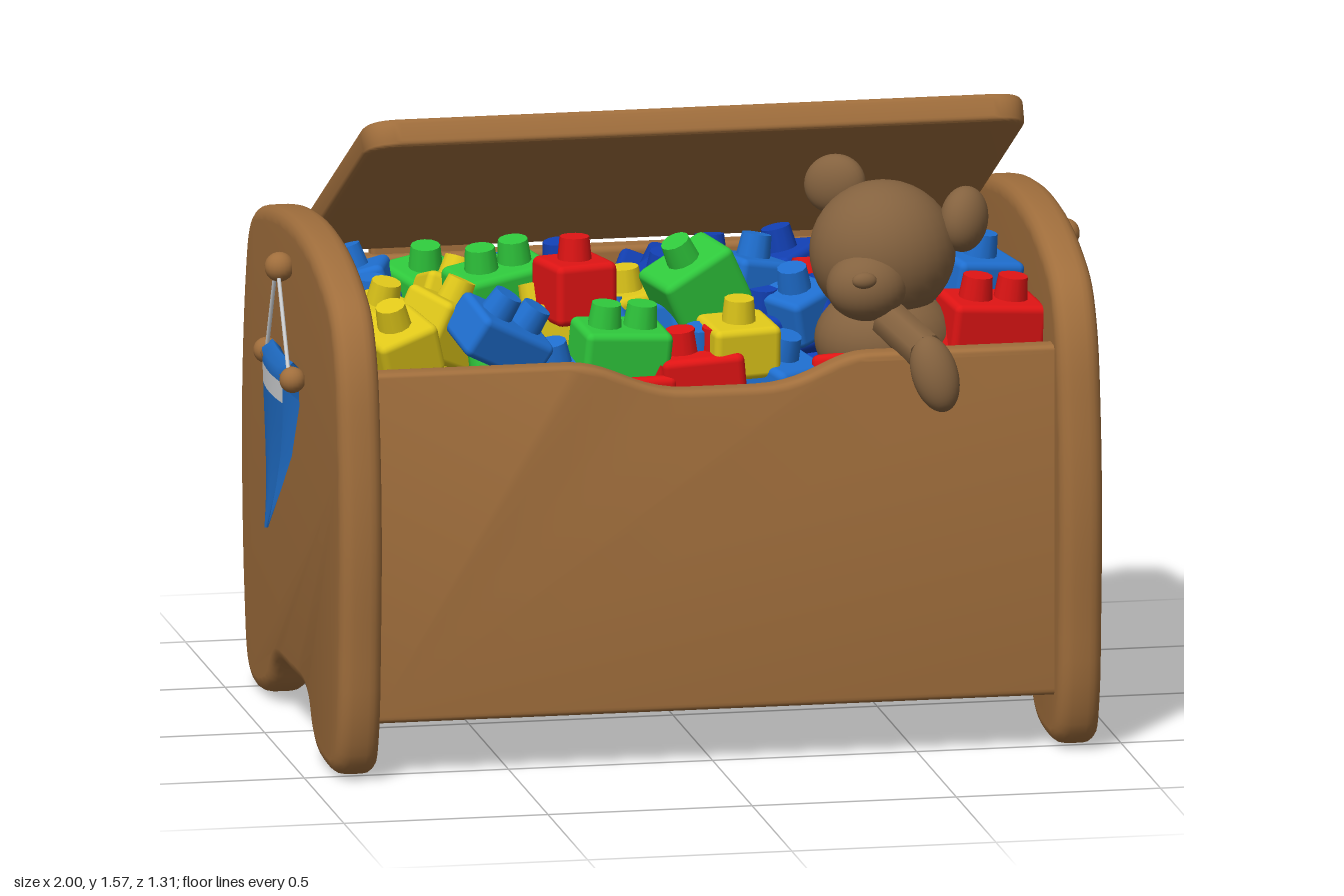
import * as THREE from 'three';
import { toCreasedNormals } from 'three/addons/utils/BufferGeometryUtils.js';
import { RoundedBoxGeometry } from 'three/addons/geometries/RoundedBoxGeometry.js';

const mat = (name, color, side = THREE.FrontSide) => {
  const m = new THREE.MeshStandardMaterial({ color, side });
  m.name = name;
  return m;
};

export function createModel() {
  const wood = mat('wood', 0xa06e3c);
  const fur = mat('fur', 0x84623f);
  const red = mat('red', 0xe01414);
  const green = mat('green', 0x2fc83c);
  const yellow = mat('yellow', 0xe0c81a);
  const blue = mat('blue', 0x1f6fd0);
  const navy = mat('dark blue', 0x1240b4);
  const cloth = mat('pennant blue', 0x1f6cc4, THREE.DoubleSide);
  const white = mat('pennant white', 0xd2d4d6, THREE.DoubleSide);

  const root = new THREE.Group();
  root.name = 'toyChest';
  const add = (parent, name, geometry, material, x = 0, y = 0, z = 0) => {
    const mesh = new THREE.Mesh(geometry, material);
    mesh.name = name;
    mesh.position.set(x, y, z);
    parent.add(mesh);
    return mesh;
  };
  // Board of the given total thickness with rounded edges, centred on z
  const board = (shape, thickness, bevel) => {
    const g = new THREE.ExtrudeGeometry(shape, {
      depth: thickness - 2 * bevel, bevelSize: bevel, bevelThickness: bevel,
      bevelOffset: -bevel, bevelSegments: 4, curveSegments: 10,
    });
    g.translate(0, 0, bevel - thickness / 2);
    return toCreasedNormals(g, 0.7);
  };

  // Side panels: outline as (-z, y)
  const outline = [
    [-0.55, 0.025], [-0.42, 0.003], [-0.3, 0.02], [-0.235, 0.065], [-0.195, 0.12], [-0.15, 0.138],
    [0.02, 0.137], [0.19, 0.13], [0.24, 0.105], [0.3, 0.045], [0.39, 0.012], [0.5, 0.005],
    [0.58, 0.05], [0.625, 0.22], [0.65, 0.45], [0.655, 0.65], [0.64, 0.83], [0.605, 1.01],
    [0.565, 1.12], [0.5, 1.18], [0.38, 1.215], [0.2, 1.245], [0, 1.258], [-0.2, 1.245],
    [-0.37, 1.205], [-0.5, 1.145], [-0.575, 1.03], [-0.615, 0.83], [-0.632, 0.6],
    [-0.622, 0.35], [-0.6, 0.13],
  ].map(([u, v]) => new THREE.Vector3(u, v, 0));
  const curve = new THREE.CatmullRomCurve3(outline, true);
  const sideShape = new THREE.Shape(curve.getPoints(124).slice(0, -1).map(p => new THREE.Vector2(p.x, p.y)));
  const sideGeo = board(sideShape, 0.106, 0.034);
  sideGeo.rotateY(Math.PI / 2);
  for (const s of [-1, 1]) add(root, s > 0 ? 'leftSidePanel' : 'rightSidePanel', sideGeo, wood, s * 0.882);

  // Front panel with a dipped top edge
  const front = new THREE.Shape();
  front.moveTo(-0.85, 0.135);
  front.lineTo(0.85, 0.135);
  front.lineTo(0.85, 0.998);
  front.lineTo(0.38, 0.998);
  front.bezierCurveTo(0.28, 0.998, 0.24, 0.925, 0.1, 0.925);
  front.lineTo(-0.06, 0.925);
  front.bezierCurveTo(-0.2, 0.925, -0.24, 0.998, -0.36, 0.998);
  front.lineTo(-0.85, 0.998);
  add(root, 'frontPanel', board(front, 0.07, 0.018), wood, 0, 0, 0.51);
  add(root, 'frontInnerRail', new THREE.BoxGeometry(1.68, 0.04, 0.03), wood, 0, 0.86, 0.465);

  // Back panel, floor and hinge blocks
  add(root, 'backPanel', new RoundedBoxGeometry(1.7, 0.91, 0.065, 3, 0.015), wood, 0, 0.59, -0.542);
  add(root, 'floor', new THREE.BoxGeometry(1.7, 0.05, 1.04), wood, 0, 0.165, -0.02);
  for (const s of [-1, 1]) {
    add(root, 'hingeBlock', new RoundedBoxGeometry(0.27, 0.07, 0.05, 2, 0.012), wood, s * 0.5, 1.055, -0.56);
  }

  // Tilted lid
  const w = 0.81, len = 0.97, r = 0.085;
  const lidShape = new THREE.Shape();
  lidShape.moveTo(-w + r, 0);
  lidShape.lineTo(w - r, 0);
  lidShape.quadraticCurveTo(w, 0, w, r);
  lidShape.lineTo(w, len - r);
  lidShape.quadraticCurveTo(w, len, w - r, len);
  lidShape.lineTo(-w + r, len);
  lidShape.quadraticCurveTo(-w, len, -w, len - r);
  lidShape.lineTo(-w, r);
  lidShape.quadraticCurveTo(-w, 0, -w + r, 0);
  const lid = add(root, 'lid', board(lidShape, 0.07, 0.014), wood, 0, 1.089, -0.544);
  lid.rotation.x = 1.086;

  // Cord or rod between two points
  const rod = (parent, name, a, b, radius, material) => {
    const p = new THREE.Vector3(...a), q = new THREE.Vector3(...b);
    const m = add(parent, name, new THREE.CylinderGeometry(radius, radius, p.distanceTo(q), 8), material);
    m.position.copy(p).lerp(q, 0.5);
    m.quaternion.setFromUnitVectors(new THREE.Vector3(0, 1, 0), q.sub(p).normalize());
  };
  // Curved cloth from rows of [y, half width, x]
  const clothStrip = (rows) => {
    const cols = 6, pos = [], idx = [];
    rows.forEach(([y, half, x], j) => {
      for (let i = 0; i <= cols; i++) {
        const t = (i / cols) * 2 - 1;
        pos.push(x - 0.008 * t * t, y, -t * half);
        if (j && i) {
          const d = j * (cols + 1) + i, c = d - 1, b = d - cols - 1, a = b - 1;
          idx.push(a, c, b, b, c, d);
        }
      }
    });
    const g = new THREE.BufferGeometry();
    g.setAttribute('position', new THREE.Float32BufferAttribute(pos, 3));
    g.setIndex(idx);
    g.computeVertexNormals();
    return g;
  };

  // Hanging pennant on each side
  for (const s of [-1, 1]) {
    const flag = new THREE.Group();
    flag.name = s > 0 ? 'leftPennant' : 'rightPennant';
    flag.position.z = -0.01;
    flag.rotation.y = s > 0 ? 0 : Math.PI;
    const ball = new THREE.SphereGeometry(0.036, 18, 12);
    add(flag, 'hangingKnob', ball, wood, 0.962, 1.147, 0);
    rod(flag, 'knobPeg', [0.92, 1.147, 0], [0.97, 1.147, 0], 0.016, wood);
    rod(flag, 'pennantRod', [0.962, 0.905, -0.17], [0.962, 0.905, 0.17], 0.02, wood);
    for (const e of [-1, 1]) {
      add(flag, 'rodKnob', ball, wood, 0.962, 0.905, e * 0.165).scale.setScalar(0.88);
      rod(flag, 'cord', [0.968, 1.14, e * 0.015], [0.966, 0.92, e * 0.135], 0.005, white);
    }
    add(flag, 'pennantTop', clothStrip([[0.84, 0.118, 0.942], [0.92, 0.13, 0.942], [0.94, 0.132, 0.962],
      [0.92, 0.13, 0.987], [0.888, 0.126, 0.987]]), cloth);
    add(flag, 'pennantStripe', clothStrip([[0.888, 0.126, 0.987], [0.838, 0.122, 0.986]]), white);
    add(flag, 'pennantTail', clothStrip([[0.838, 0.122, 0.986], [0.77, 0.114, 0.985], [0.7, 0.095, 0.986],
      [0.62, 0.062, 0.99], [0.505, 0.001, 0.999]]), cloth);
    add(flag, 'pennantBack', clothStrip([[0.84, 0.118, 0.942], [0.7, 0.095, 0.958], [0.62, 0.062, 0.975],
      [0.505, 0.001, 0.998]]), cloth);
    root.add(flag);
  }

  // Toy blocks with round studs
  const toys = new THREE.Group();
  toys.name = 'toyBlocks';
  root.add(toys);
  const studGeo = new THREE.CylinderGeometry(0.036, 0.042, 0.06, 12);
  const block = (material, x, y, z, width, height, rx, ry, rz, studs = 1) => {
    const b = new THREE.Group();
    b.name = 'toyBlock';
    b.position.set(x, y, z);
    b.rotation.set(rx, ry, rz);
    add(b, 'blockBody', new RoundedBoxGeometry(width, height, 0.16, 2, 0.018), material);
    for (let i = 0; i < studs; i++) {
      add(b, 'blockStud', studGeo, material, (i - (studs - 1) / 2) * 0.09, height / 2 + 0.025, 0);
    }
    toys.add(b);
  };
  [
    [yellow, -0.74, 1.02, 0.36, 0.16, 0.13, 0.2, 0.3, 0.25],
    [yellow, -0.62, 1.04, 0.26, 0.17, 0.15, 0.2, 0.5, -0.5],
    [blue, -0.5, 1.04, 0.38, 0.22, 0.11, 0.3, 0.2, -0.55, 2],
    [red, -0.28, 1.11, 0.2, 0.16, 0.15, 0, 0.25, 0],
    [green, -0.2, 0.99, 0.36, 0.22, 0.13, 0.1, 0.1, -0.08, 2],
    [red, -0.2, 0.88, 0.38, 0.24, 0.12, 0, 0.1, 0, 2],
    [red, 0.0, 0.93, 0.37, 0.2, 0.12, 0.1, -0.1, 0.1, 2],
    [green, 0.02, 1.1, 0.18, 0.2, 0.16, 0.1, 0.3, 0.45, 1],
    [yellow, 0.09, 0.99, 0.36, 0.17, 0.13, 0.1, 0.15, 0],
    [blue, 0.17, 1.08, 0.08, 0.16, 0.13, 0, 0.4, -0.2],
    [blue, 0.27, 1.03, 0.18, 0.15, 0.12, 0.1, 0.6, 0.2],
    [blue, 0.71, 1.08, 0.16, 0.18, 0.13, 0.1, 0.3, -0.15],
    [red, 0.71, 1.01, 0.34, 0.24, 0.14, 0.1, 0.15, -0.1, 2],
    [green, -0.42, 1.06, -0.02, 0.24, 0.14, 0.1, 0.3, 0.1, 2],
    [yellow, -0.16, 1.0, 0.06, 0.2, 0.13, 0, 0.4, 0.1, 2],
  ].forEach(a => block(...a));

  // Rest of the pile, from a small seeded generator
  let seed = 11;
  const rnd = () => (seed = (seed * 16807) % 2147483647) / 2147483647;
  for (let layer = 0; layer < 2; layer++) {
    for (let i = 0; i < 9; i++) {
      for (let j = 0; j < 5; j++) {
        const x = -0.7 + i * 0.175, z = -0.4 + j * 0.185;
        const warm = i < 4 ? [yellow, green, blue, red, yellow] : [blue, navy, blue, red, navy];
        const palette = j < 2 && i > 1 ? [navy, navy, blue, navy, blue] : warm;
        const y = (j === 4 ? 0.87 : 0.94) - (1 - layer) * 0.14 + rnd() * 0.06;
        block(palette[Math.floor(rnd() * 5)], x + (rnd() - 0.5) * 0.04, y, z, 0.15 + rnd() * 0.05, 0.13,
          (rnd() - 0.5) * 0.8, rnd() * 3, (rnd() - 0.5) * 0.8, layer);
      }
    }
  }

  // Stuffed bear leaning over the front edge
  const bear = new THREE.Group();
  bear.name = 'stuffedBear';
  root.add(bear);
  const ball = new THREE.SphereGeometry(1, 28, 20);
  const blob = (name, x, y, z, sx, sy, sz) => {
    const m = add(bear, name, ball, fur, x, y, z);
    m.scale.set(sx, sy, sz);
    return m;
  };
  blob('bearHead', 0.455, 1.195, 0.3, 0.177, 0.172, 0.16);
  blob('bearSnout', 0.395, 1.135, 0.41, 0.098, 0.085, 0.085);
  blob('bearNose', 0.375, 1.165, 0.485, 0.03, 0.02, 0.018);
  blob('bearBody', 0.46, 0.98, 0.3, 0.17, 0.13, 0.15);
  blob('rightEar', 0.355, 1.345, 0.215, 0.078, 0.072, 0.045).rotation.set(0, -0.5, 0.5);
  blob('leftEar', 0.65, 1.27, 0.325, 0.07, 0.08, 0.055).rotation.set(0, 0.9, -0.3);
  rod(bear, 'foreArm', [0.45, 1.05, 0.42], [0.51, 1.0, 0.57], 0.05, fur);
  blob('paw', 0.525, 0.955, 0.6, 0.056, 0.095, 0.052).rotation.set(-0.25, 0, 0.25);

  return root;
}
